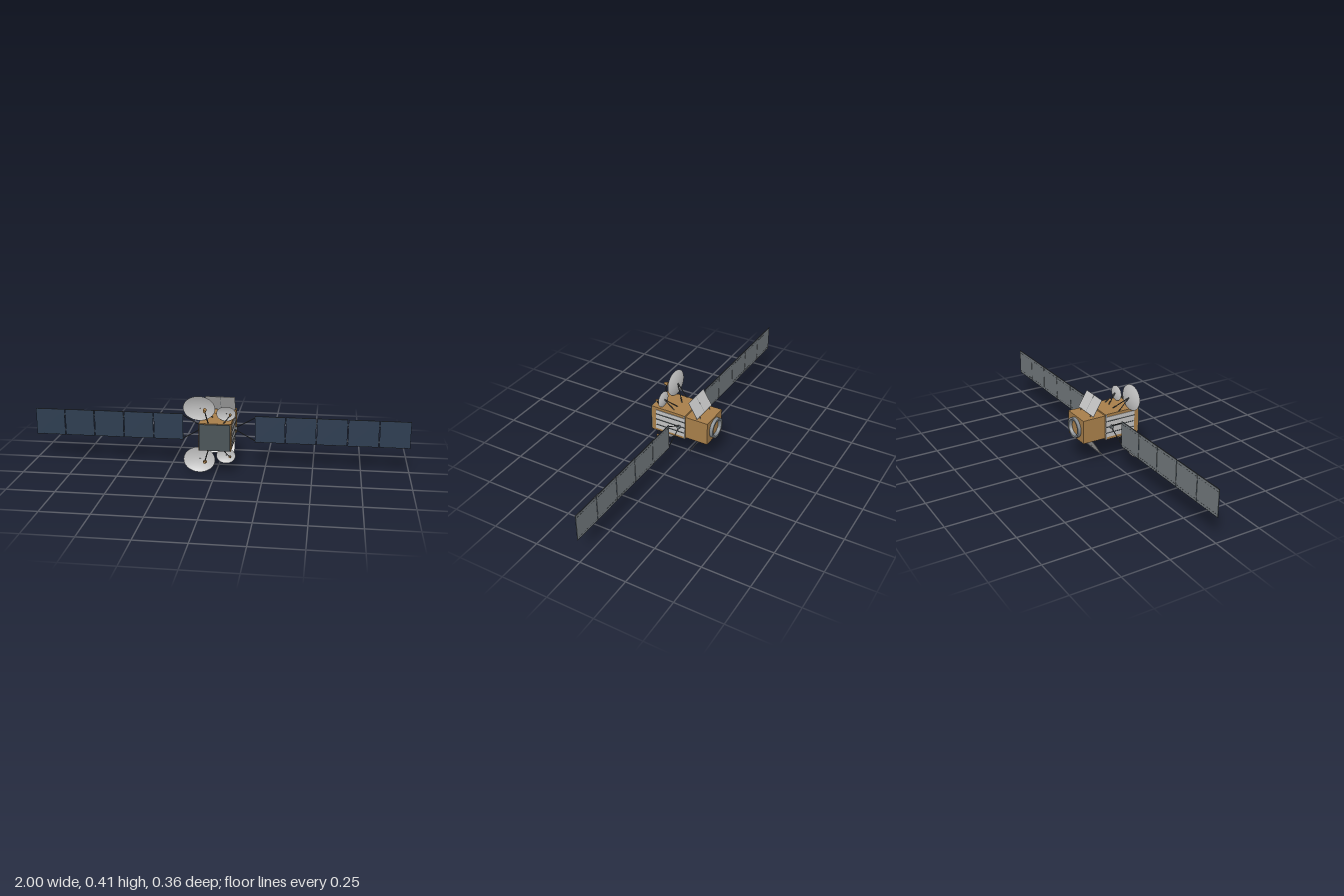
import * as THREE from 'three';

const CY = 0.2075; // height of the central axis

const mat = (name, color, side = THREE.FrontSide) => {
  const m = new THREE.MeshStandardMaterial({ color, side });
  m.name = name;
  return m;
};

export function createModel() {
  const root = new THREE.Group();
  root.name = 'satellite';

  const gold = mat('gold foil', 0xa87f4a);
  const light = mat('light grey', 0xc4c4c4);
  const dishMat = mat('dish grey', 0xc6c6c6, THREE.DoubleSide);
  const slate = mat('slate', 0x4b5458);
  const navy = mat('solar navy', 0x2c3c50);
  const grey = mat('panel grey', 0x72797d);
  const steel = mat('steel', 0x858b90);
  const dark = mat('dark strut', 0x3f4346);

  const add = (name, geo, material, x = 0, y = 0, z = 0, parent = root) => {
    const m = new THREE.Mesh(geo, material);
    m.name = name;
    m.position.set(x, y, z);
    parent.add(m);
    return m;
  };
  const box = (name, w, h, d, material, x, y, z, parent) =>
    add(name, new THREE.BoxGeometry(w, h, d), material, x, y, z, parent);

  // Round bar between two points
  const rod = (name, a, b, r, material = dark) => {
    const p = new THREE.Vector3(...a), q = new THREE.Vector3(...b);
    const dir = q.clone().sub(p);
    const m = add(name, new THREE.CylinderGeometry(r, r, dir.length(), 8), material);
    m.position.copy(p).add(q).multiplyScalar(0.5);
    m.quaternion.setFromUnitVectors(new THREE.Vector3(0, 1, 0), dir.normalize());
    return m;
  };

  // Body
  box('mainBody', 0.166, 0.145, 0.2, gold, 0, CY, 0.07);
  box('rearBody', 0.158, 0.129, 0.13, gold, 0, CY, -0.095);
  box('frontPlate', 0.16, 0.139, 0.009, slate, 0, CY, 0.1735);

  // Rear engine ring, hollow with a gold floor
  const ring = new THREE.LatheGeometry([
    [0.036, 0], [0.055, 0], [0.055, 0], [0.055, 0.018], [0.055, 0.018],
    [0.045, 0.018], [0.045, 0.018], [0.036, 0.008], [0.036, 0],
  ].map(([x, y]) => new THREE.Vector2(x, y)).reverse(), 32);
  ring.rotateX(-Math.PI / 2);
  const engineRing = add('engineRing', ring, steel, 0, CY, -0.16);
  engineRing.material.side = THREE.DoubleSide;
  const floor = new THREE.CylinderGeometry(0.036, 0.036, 0.003, 32).rotateX(Math.PI / 2);
  add('engineFloor', floor, gold, 0, CY, -0.161);

  for (const s of [1, -1]) {
    // Side radiators with ribs
    box('radiator', 0.003, 0.115, 0.175, light, s * 0.0845, CY, 0.0575);
    box('radiatorFrame', 0.002, 0.145, 0.007, steel, s * 0.0838, CY, -0.0267);
    for (const y of [-0.033, 0, 0.033])
      box('radiatorRib', 0.005, 0.003, 0.172, slate, s * 0.0865, CY + y, 0.0575);

    // Solar wing hub and yoke
    const hub = new THREE.CylinderGeometry(0.01, 0.01, 0.016, 8).rotateZ(Math.PI / 2);
    add('wingHub', hub, grey, s * 0.09, CY, 0.003);
    for (const v of [1, -1])
      rod('wingYoke', [s * 0.09, CY + v * 0.006, 0.003], [s * 0.193, CY + v * 0.064, 0.003], 0.0025);

    // Solar wing: five panels, cells in front and grey backs with dashed trim
    const wing = new THREE.Group();
    wing.name = 'solarWing';
    root.add(wing);
    const pitch = 0.162;
    for (let i = 0; i < 5; i++) {
      const x = s * (0.19 + pitch * (i + 0.5));
      box('solarCells', pitch - 0.004, 0.141, 0.002, navy, x, CY, 0.004, wing);
      box('panelBack', pitch - 0.004, 0.141, 0.002, grey, x, CY, 0.002, wing);
      for (const v of [1, -1]) {
        box('panelEdge', pitch - 0.003, 0.002, 0.0045, dark, x, CY + v * 0.0705, 0.003, wing);
        for (let k = 0; k < 7; k++)
          box('backDash', 0.011, 0.0018, 0.001, dark,
            x + (k - 3) * 0.0215, CY + v * 0.058, 0.0008, wing);
        if (i < 4)
          box('panelHinge', 0.005, 0.01, 0.003, dark, s * (0.19 + pitch * (i + 1)), CY + v * 0.045, 0.003, wing);
      }
    }
  }

  // Shallow elliptical reflector opening towards the front
  const dish = (name, rx, ry, depth, x, y, z, tilt) => {
    const pts = [];
    for (let i = 0; i <= 8; i++) pts.push(new THREE.Vector2(i / 8, depth * (i / 8) ** 2));
    const g = new THREE.LatheGeometry(pts, 40).rotateX(Math.PI / 2).scale(rx, ry, 1);
    add(name, g, dishMat, x, y, z).rotation.x = tilt;
  };

  // Feed horn with its wide mouth towards the dish
  const horn = (name, r, len, x, y, z, tilt) => {
    const g = new THREE.CylinderGeometry(r * 0.65, r, len, 12).rotateX(Math.PI / 2);
    add(name, g, gold, x, y, z).rotation.x = tilt;
  };

  // Antennas and rear flaps, above and below
  for (const s of [1, -1]) {
    const Y = (v) => CY + s * v;

    dish('largeDish', 0.083, 0.067, 0.013, -0.087, Y(0.14), 0.11, s * 0.12);
    dish('smallDish', 0.05, 0.04, 0.008, 0.052, Y(0.114), 0.11, s * 0.12);
    for (const x of [-0.08, -0.025])
      rod('largeDishStrut', [x, Y(0.071), 0.05], [-0.085, Y(0.138), 0.11], 0.0025);
    for (const x of [0.02, 0.057])
      rod('smallDishStrut', [x, Y(0.071), 0.05], [0.053, Y(0.114), 0.11], 0.0025);

    rod('largeFeedMast', [-0.034, Y(0.07), 0.16], [-0.053, Y(0.135), 0.16], 0.003);
    horn('largeFeedHorn', 0.01, 0.024, -0.053, Y(0.138), 0.161, s * 0.12);
    rod('smallFeedMast', [0.042, Y(0.07), 0.156], [0.074, Y(0.11), 0.143], 0.0025);
    horn('smallFeedHorn', 0.007, 0.015, 0.075, Y(0.112), 0.141, s * 0.2);

    // Flap hinged over the rear body, leaning forward and outward
    const flap = new THREE.Group();
    flap.name = 'rearFlap';
    flap.position.set(0, Y(0.115), -0.074);
    flap.rotation.x = s * 0.548;
    root.add(flap);
    for (const h of [1, -1])
      box('flapPanel', 0.077, 0.098, 0.002, light, h * 0.0395, 0, 0, flap);
    box('flapSeam', 0.003, 0.098, 0.0015, grey, 0, 0, 0, flap);
    for (const x of [-0.05, 0.05])
      rod('flapHinge', [x, Y(0.062), -0.104], [x, Y(0.075), -0.099], 0.002, steel);
  }

  return root;
}
